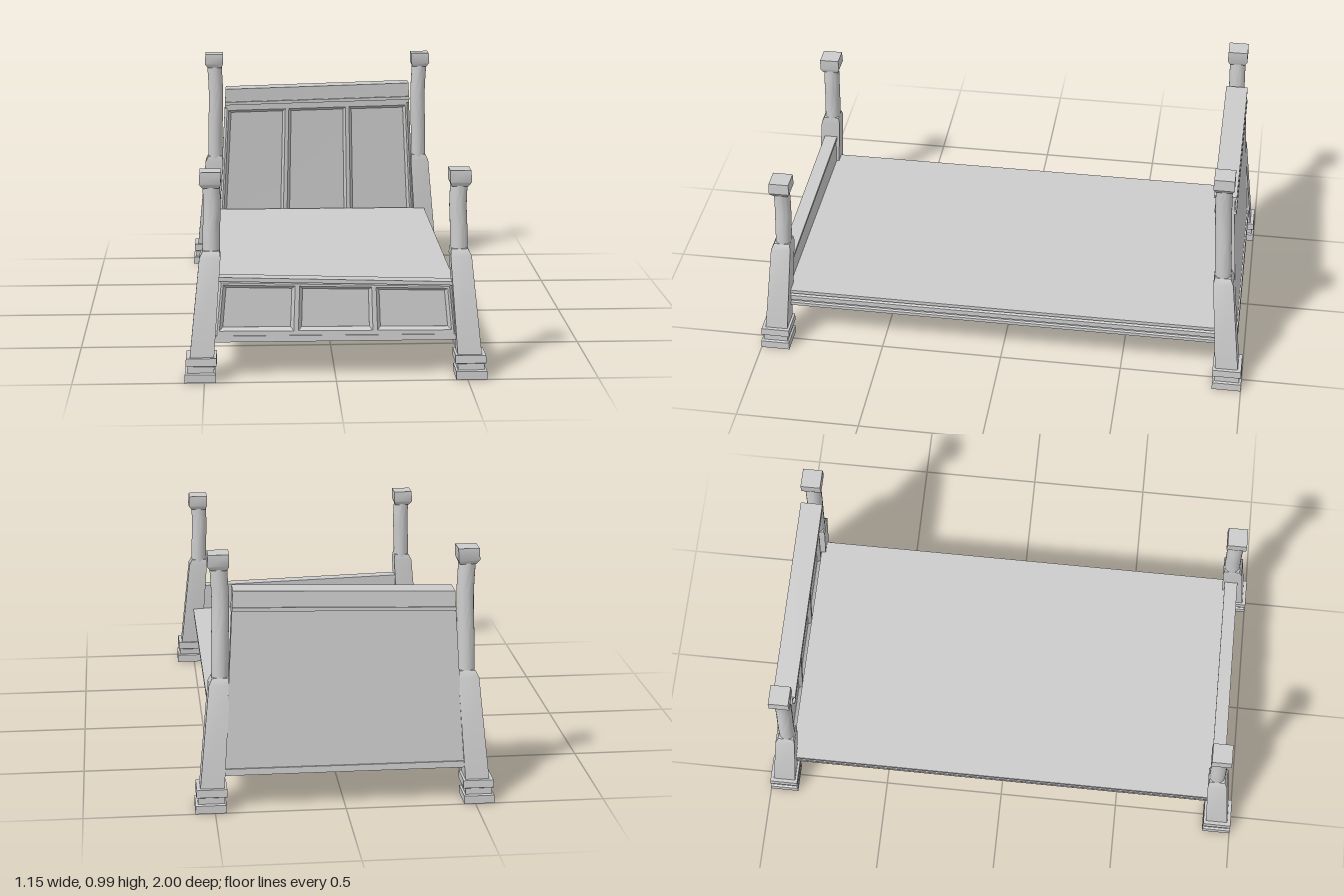
import * as THREE from 'three';
import { toCreasedNormals } from 'three/addons/utils/BufferGeometryUtils.js';

const material = new THREE.MeshStandardMaterial({ color: 0xcccccc });

function addMesh(parent, name, geometry) {
  const mesh = new THREE.Mesh(geometry, material);
  mesh.name = name;
  parent.add(mesh);
}

// Skin horizontal sections [x, y, z, half width] from bottom to top; 4 sides gives a square
function loft(sections, sides) {
  const pos = [], index = [];
  const reach = sides === 4 ? Math.SQRT2 : 1;
  for (const [x, y, z, r] of sections) {
    for (let i = 0; i < sides; i++) {
      const a = ((i + 0.5) / sides) * Math.PI * 2;
      pos.push(x + Math.sin(a) * r * reach, y, z + Math.cos(a) * r * reach);
    }
  }
  const last = (sections.length - 1) * sides;
  for (let s = 0; s < sections.length - 1; s++) {
    for (let i = 0; i < sides; i++) {
      const a = s * sides + i, b = s * sides + ((i + 1) % sides);
      index.push(a, b, b + sides, a, b + sides, a + sides);
    }
  }
  for (let i = 1; i < sides - 1; i++) {
    index.push(0, i + 1, i, last, last + i, last + i + 1);
  }
  const geometry = new THREE.BufferGeometry();
  geometry.setAttribute('position', new THREE.Float32BufferAttribute(pos, 3));
  geometry.setIndex(index);
  return toCreasedNormals(geometry, 0.6);
}

// Leaning post: stepped foot, tapering square shaft, bowed round column, square cap
function makePost(name, side, end, shaftTop, top, topZ, columnPath) {
  const post = new THREE.Group();
  post.name = name;
  const put = (part, sections, sides = 4) =>
    addMesh(post, part, loft(sections.map(([x, y, z, r]) => [x * side, y, z * end, r]), sides));

  put('foot', [
    [0.516, 0, 0.941, 0.059], [0.515, 0.032, 0.941, 0.059], [0.514, 0.036, 0.94, 0.051],
    [0.513, 0.06, 0.939, 0.051], [0.512, 0.064, 0.939, 0.059], [0.511, 0.094, 0.938, 0.058],
  ]);
  const shaftZ = columnPath[0][2];
  put('shaft', [
    [0.509, 0.09, 0.936, 0.046], [0.475, shaftTop - 0.025, shaftZ + 0.004, 0.04],
    [0.47, shaftTop, shaftZ, 0.032],
  ]);

  const curve = new THREE.CatmullRomCurve3(columnPath.map((p) => new THREE.Vector3(...p)));
  put('column', curve.getPoints(12).map((p) => [p.x, p.y, p.z, 0.033]), 24);
  put('cap', [
    [0.469, top - 0.066, topZ, 0.031], [0.471, top - 0.052, topZ, 0.039],
    [0.472, top - 0.048, topZ, 0.041], [0.47, top - 0.003, topZ, 0.04],
  ]);
  return post;
}

// Panelled board; local z = 0 is its front face. The rule tapers, tilts and leans it.
function makeBoard(name, o) {
  const board = new THREE.Group();
  board.name = name;
  const half = 0.45;

  const put = (part, source) => {
    const geometry = source.index ? source.toNonIndexed() : source;
    const p = geometry.attributes.position;
    for (let i = 0; i < p.count; i++) {
      const x0 = p.getX(i), y0 = p.getY(i);
      const rise = y0 - o.bottom;
      const x = x0 * (o.halfWidth - o.taper * rise) / half;
      const y = y0 + (o.tilt * x * rise) / (o.top - o.bottom);
      p.setXYZ(i, x, y, p.getZ(i) + o.frontZ + o.lean * rise);
    }
    geometry.computeVertexNormals();
    addMesh(board, part, geometry);
  };
  const rail = (part, y0, y1, front, back) => {
    const box = new THREE.BoxGeometry(half * 2, y1 - y0, front - back);
    put(part, box.translate(0, (y0 + y1) / 2, (front + back) / 2));
  };

  rail('backing', o.bottom, o.top, -0.016, -o.thickness);

  // Frame with three bevelled openings
  const rectangle = (path, x0, y0, x1, y1) => {
    path.moveTo(x0, y0);
    path.lineTo(x1, y0);
    path.lineTo(x1, y1);
    path.lineTo(x0, y1);
    path.closePath();
    return path;
  };
  const b = 0.012;
  const shape = rectangle(new THREE.Shape(), -half + b, o.bottom + b, half - b, o.top - b);
  for (const [x0, x1] of [[-0.43, -0.155], [-0.138, 0.138], [0.155, 0.43]]) {
    shape.holes.push(rectangle(new THREE.Path(), x0, o.panelBottom, x1, o.panelTop));
  }
  const frame = new THREE.ExtrudeGeometry(shape, {
    depth: 0.005, bevelEnabled: true, bevelSize: b, bevelThickness: 0.015, bevelSegments: 1,
  });
  put('panelFrame', frame.translate(0, 0, -0.02));

  for (const r of o.rails) rail(...r);
  return board;
}

export function createModel() {
  const bed = new THREE.Group();
  bed.name = 'bed';

  // Four posts, mirrored across x
  for (const [label, side] of [['Left', 1], ['Right', -1]]) {
    bed.add(makePost('frontPost' + label, side, 1, 0.495, 0.8, 0.89, [
      [0.47, 0.46, 0.898], [0.469, 0.56, 0.894], [0.465, 0.66, 0.891], [0.468, 0.75, 0.89],
    ]));
    bed.add(makePost('backPost' + label, side, -1, 0.515, 0.995, 0.874, [
      [0.47, 0.48, 0.894], [0.469, 0.62, 0.888], [0.464, 0.8, 0.878], [0.47, 0.945, 0.874],
    ]));
  }

  // Headboard with a crown moulding
  bed.add(makeBoard('headboard', {
    bottom: 0.14, top: 0.835, halfWidth: 0.46, taper: 0.058, tilt: 0.028,
    frontZ: -0.905, lean: 0.072, thickness: 0.06, panelBottom: 0.19, panelTop: 0.738,
    rails: [
      ['bottomRail', 0.14, 0.165, 0.005, -0.066],
      ['topRail', 0.75, 0.766, 0.005, -0.06],
      ['lowerCrownMoulding', 0.766, 0.78, 0.018, -0.068],
      ['crownBand', 0.78, 0.826, 0.008, -0.062],
      ['upperCrownMoulding', 0.826, 0.834, 0.015, -0.066],
      ['crownTop', 0.834, 0.843, 0.02, -0.07],
    ],
  }));

  // Footboard
  bed.add(makeBoard('footboard', {
    bottom: 0.14, top: 0.372, halfWidth: 0.467, taper: 0.1, tilt: -0.028,
    frontZ: 0.938, lean: -0.04, thickness: 0.045, panelBottom: 0.182, panelTop: 0.352,
    rails: [
      ['bottomRail', 0.142, 0.165, 0.004, -0.05],
      ['topRail', 0.366, 0.381, 0.005, -0.05],
    ],
  }));

  // Mattress base with grooved sides, drawn as half a section and mirrored
  const profile = [
    [0.49, 0.172], [0.49, 0.186], [0.482, 0.19], [0.482, 0.2], [0.494, 0.204],
    [0.494, 0.225], [0.484, 0.23], [0.484, 0.238], [0.5, 0.242], [0.5, 0.257],
  ];
  const mirrored = profile.map(([x, y]) => [-x, y]).reverse();
  const section = new THREE.Shape([...profile, ...mirrored].map((p) => new THREE.Vector2(...p)));
  const base = new THREE.ExtrudeGeometry(section, { depth: 1.79, bevelEnabled: false });
  addMesh(bed, 'mattressBase', base.translate(0, 0, -0.895));

  return bed;
}
